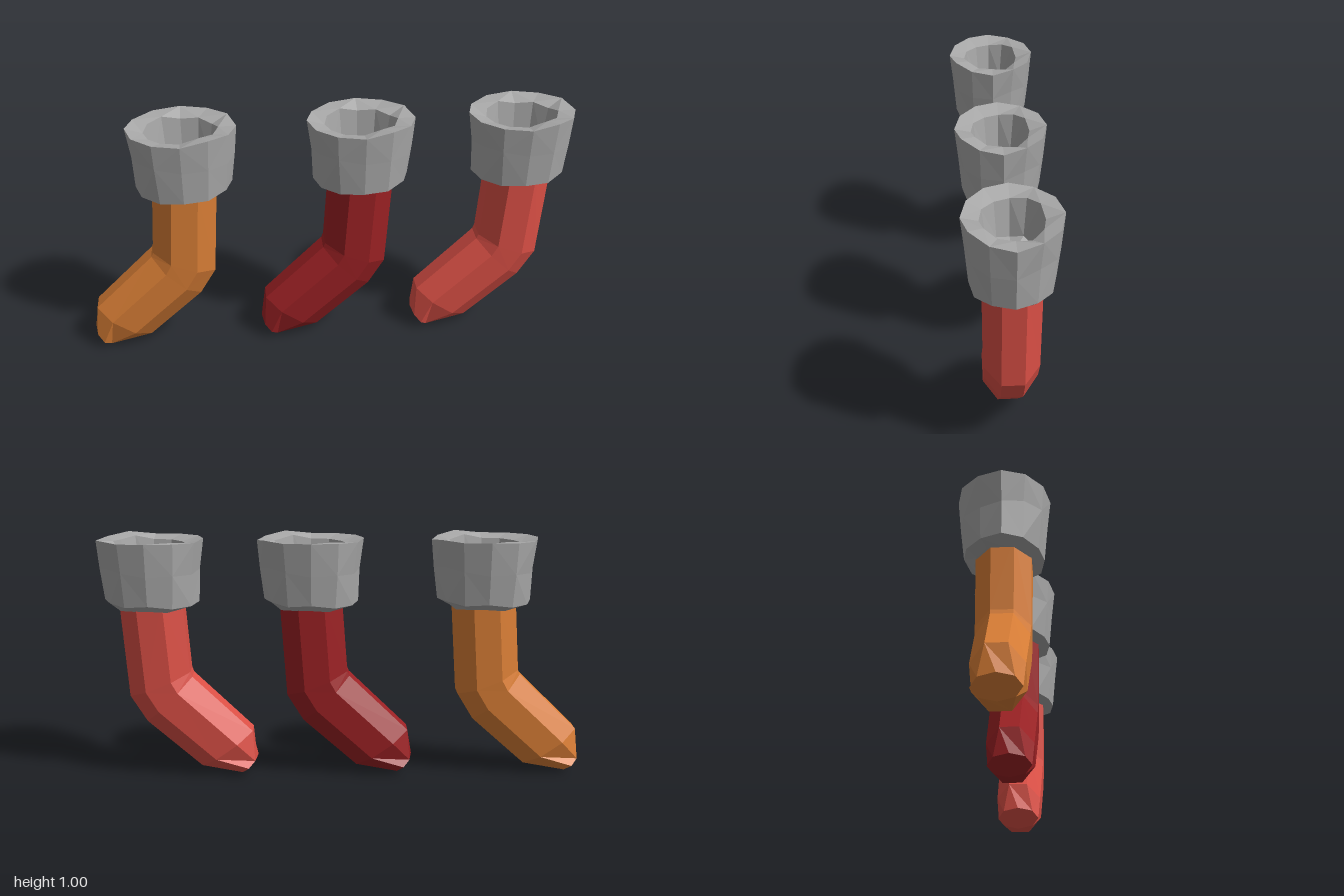
import * as THREE from 'three';

// Skins a list of equal-length point rings and closes both ends with fans.
function loft(rings) {
  const pos = [];
  const n = rings[0].length;
  const tri = (...pts) => pts.forEach((p) => pos.push(p.x, p.y, p.z));
  const middle = (ring) => ring.reduce((s, p) => s.add(p), new THREE.Vector3()).divideScalar(n);
  const first = rings[0], last = rings[rings.length - 1];
  const start = middle(first), end = middle(last);
  for (let j = 0; j < n; j++) {
    const k = (j + 1) % n;
    tri(start, first[k], first[j]);
    for (let i = 0; i < rings.length - 1; i++) {
      const a = rings[i], b = rings[i + 1];
      if ((i + j) % 2) {
        tri(a[j], a[k], b[k]);
        tri(a[j], b[k], b[j]);
      } else {
        tri(a[j], a[k], b[j]);
        tri(a[k], b[k], b[j]);
      }
    }
    tri(end, last[j], last[k]);
  }
  const geo = new THREE.BufferGeometry();
  geo.setAttribute('position', new THREE.Float32BufferAttribute(pos, 3));
  geo.computeVertexNormals();
  return geo;
}

// Bent octagonal tube: each ring spans from its toe-side to its heel-side point.
function stockingGeometry() {
  const sections = [
    // toe-side x, y, heel-side x, y, half depth, turn (in steps)
    [-0.125, 0.76, 0.13, 0.76, 0.105, 0.5],
    [-0.147, 0.45, 0.103, 0.35, 0.102, 0.5],
    [-0.155, 0.43, 0.037, 0.24, 0.1, 0.5],
    [-0.4, 0.19, -0.185, 0.04, 0.094, 0.5],
    [-0.42, 0.075, -0.345, 0.005, 0.087, 0],
  ];
  return loft(sections.map(([px, py, qx, qy, depth, turn]) => {
    const fit = 1 / Math.cos(turn * Math.PI / 4);
    return Array.from({ length: 8 }, (_, j) => {
      const a = (j + turn) * Math.PI / 4;
      const c = Math.cos(a) * fit / 2;
      return new THREE.Vector3((px + qx) / 2 + (qx - px) * c,
        (py + qy) / 2 + (qy - py) * c, Math.sin(a) * fit * depth);
    });
  }));
}

// Crumpled hollow cuff: inner floor, inner wall, rim, outer wall, underside.
function cuffGeometry() {
  let seed = 7;
  const rand = () => {
    seed = (seed * 16807) % 2147483647;
    return seed / 2147483647 - 0.5;
  };
  const profile = [
    // radius x, radius z, y, crumple
    [0.125, 0.095, 0.84, 0.02],
    [0.145, 0.115, 0.985, 0.02],
    [0.216, 0.177, 1.0, 0.012],
    [0.203, 0.166, 0.88, 0.022],
    [0.19, 0.155, 0.742, 0.014],
    [0.14, 0.115, 0.718, 0.006],
  ];
  const sides = 12;
  return loft(profile.map(([rx, rz, y, crumple]) =>
    Array.from({ length: sides }, (_, j) => {
      const a = (j / sides) * Math.PI * 2;
      const r = 1 + rand() * crumple * 3;
      return new THREE.Vector3(Math.cos(a) * rx * r, y + rand() * crumple * 1.5, Math.sin(a) * rz * r);
    })));
}

export function createModel() {
  const group = new THREE.Group();
  group.name = 'stockings';
  const material = (name, color) => {
    const m = new THREE.MeshStandardMaterial({ color });
    m.name = name;
    m.flatShading = true;
    return m;
  };
  const grey = material('grey', 0xa8a8a8);
  const stocking = stockingGeometry();
  const cuff = cuffGeometry();

  // Three matching stockings in a row
  [
    ['orangeStocking', -0.58, material('orange', 0xdb7f36)],
    ['darkRedStocking', 0.13, material('dark red', 0x9c2124)],
    ['redStocking', 0.78, material('red', 0xdc5046)],
  ].forEach(([name, x, cloth]) => {
    const item = new THREE.Group();
    item.name = name;
    item.position.x = x;
    const sock = new THREE.Mesh(stocking, cloth);
    sock.name = 'sock';
    const top = new THREE.Mesh(cuff, grey);
    top.name = 'cuff';
    item.add(sock, top);
    group.add(item);
  });
  return group;
}
